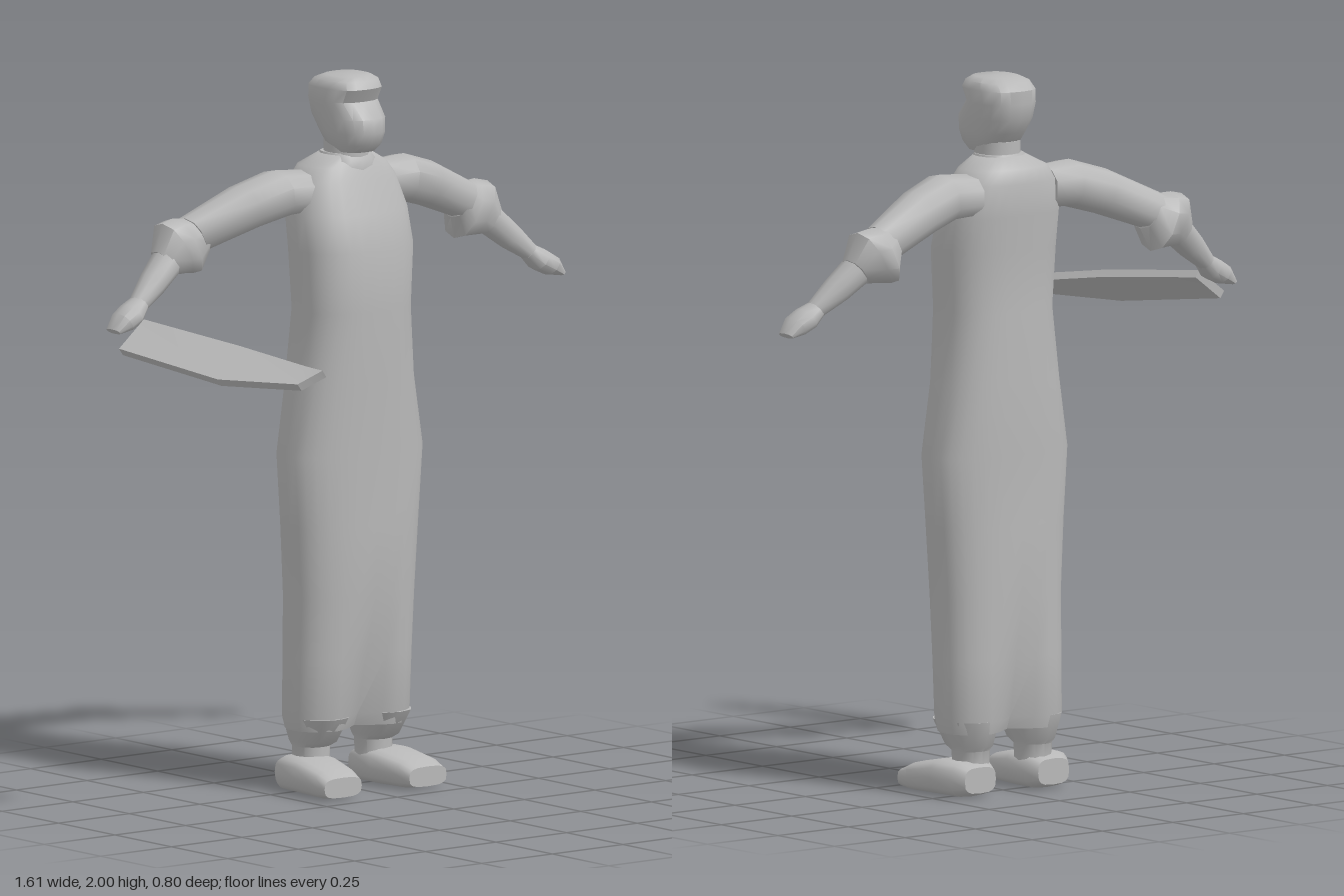
import * as THREE from 'three';
import { toCreasedNormals } from 'three/addons/utils/BufferGeometryUtils.js';

const MID = 0.006; // the figure's own centre line
const grey = new THREE.MeshStandardMaterial({ color: 0xb8b8b8 });
grey.name = 'plain grey';

// Closed skin over rings of points, capped at both ends
function skin(name, rings, crease = 0.8) {
  const n = rings[0].length, pos = [], idx = [];
  rings.forEach(r => r.forEach(p => pos.push(p.x, p.y, p.z)));
  for (let i = 0; i < rings.length - 1; i++)
    for (let j = 0; j < n; j++) {
      const a = i * n + j, b = i * n + (j + 1) % n;
      idx.push(a, b, b + n, a, b + n, a + n);
    }
  [0, rings.length - 1].forEach((i, end) => {
    const c = new THREE.Vector3();
    rings[i].forEach(p => c.addScaledVector(p, 1 / n));
    const k = pos.length / 3;
    pos.push(c.x, c.y, c.z);
    for (let j = 0; j < n; j++) {
      const a = i * n + j, b = i * n + (j + 1) % n;
      end ? idx.push(k, a, b) : idx.push(k, b, a);
    }
  });
  const g = new THREE.BufferGeometry();
  g.setAttribute('position', new THREE.Float32BufferAttribute(pos, 3));
  g.setIndex(idx);
  const mesh = new THREE.Mesh(toCreasedNormals(g, crease), grey);
  mesh.name = name;
  return mesh;
}

// Rounded-square outline as [u, v] pairs
function outline(n, e) {
  return Array.from({ length: n }, (_, j) => {
    const t = (j / n) * Math.PI * 2, c = Math.cos(t), s = Math.sin(t);
    return [Math.sign(c) * Math.abs(c) ** (2 / e), Math.sign(s) * Math.abs(s) ** (2 / e)];
  });
}

// Upright part; rows are [y, half width, front z, back z, fold depth]
function upright(name, rows, x = MID, n = 20, e = 2.5) {
  return skin(name, rows.map(([y, w, zf, zb, fold = 0]) => outline(n, e).map(([u, v]) => {
    const dip = 1 - fold * Math.exp(-((v * w / 0.06) ** 2)) / ((zf - zb) / 2);
    return new THREE.Vector3(x + v * w, y, (zf + zb) / 2 + u * dip * (zf - zb) / 2);
  })));
}

// Limb piece; rows are [x, y, z, angle, radius across, radius in z]
function limb(name, rows, side, n = 10, e = 2.3) {
  return skin(name, rows.map(([x, y, z, a, ra, rz]) => {
    const ring = outline(n, e).map(([u, v]) => new THREE.Vector3(
      MID + side * (x - Math.sin(a) * u * ra), y + Math.cos(a) * u * ra, z + v * rz));
    return side < 0 ? ring.reverse() : ring;
  }));
}

function arm(side) {
  const g = new THREE.Group();
  g.name = side > 0 ? 'leftArm' : 'rightArm';
  g.add(limb('upperSleeve', [
    [0.13, 1.68, -0.265, 0, 0.06, 0.075],
    [0.22, 1.682, -0.265, -0.12, 0.066, 0.082],
    [0.32, 1.652, -0.285, -0.35, 0.064, 0.075],
    [0.48, 1.585, -0.32, -0.45, 0.055, 0.058],
  ], side));
  g.add(limb('rolledCuff', [
    [0.46, 1.585, -0.32, -0.45, 0.052, 0.056],
    [0.497, 1.555, -0.335, -0.42, 0.088, 0.072],
    [0.535, 1.552, -0.33, -0.5, 0.084, 0.07],
    [0.575, 1.515, -0.322, -0.67, 0.045, 0.045],
  ], side));
  g.add(limb('forearm', [
    [0.55, 1.535, -0.322, -0.67, 0.046, 0.046],
    [0.63, 1.468, -0.305, -0.67, 0.038, 0.04],
    [0.695, 1.415, -0.29, -0.67, 0.024, 0.03],
  ], side));
  g.add(limb('hand', [
    [0.685, 1.422, -0.29, -0.67, 0.024, 0.03],
    [0.72, 1.395, -0.283, -0.62, 0.033, 0.042],
    [0.755, 1.376, -0.28, -0.6, 0.03, 0.042],
    [0.788, 1.352, -0.28, -0.75, 0.01, 0.03],
  ], side));
  return g;
}

// Shoe sections run heel to toe: [z, x from centre, half width, bottom, top]
function leg(side) {
  const g = new THREE.Group();
  g.name = side > 0 ? 'leftLeg' : 'rightLeg';
  const rows = [
    [-0.32, 0.13, 0.055, 0.012, 0.085], [-0.285, 0.132, 0.076, 0, 0.1],
    [-0.2, 0.135, 0.082, 0, 0.1], [-0.1, 0.146, 0.074, 0, 0.08],
    [-0.06, 0.15, 0.066, 0.006, 0.062],
  ];
  g.add(skin('shoe', rows.map(([z, x, w, y0, y1]) => outline(16, 3.2).map(([u, v]) =>
    new THREE.Vector3(MID + side * x + u * w, (y0 + y1) / 2 + v * (y1 - y0) / 2, z)))));
  g.add(upright('trouserLeg', [
    [0.07, 0.05, -0.2, -0.305], [0.125, 0.052, -0.2, -0.305],
    [0.14, 0.06, -0.17, -0.32], [0.21, 0.085, -0.13, -0.335],
  ], MID + side * 0.11, 12, 2.2));
  return g;
}

// Single-edged blade: pairs of spine and cutting-edge points
function blade() {
  const n = new THREE.Vector3(0.58, -0.81, 0).multiplyScalar(0.024);
  const V = (...p) => new THREE.Vector3(...p);
  const pairs = [
    [V(-0.71, 1.385, -0.235), V(-0.81, 1.315, -0.22)],
    [V(-0.648, 1.35, 0.11), V(-0.748, 1.27, 0.14)],
    [V(-0.595, 1.317, 0.34), V(-0.645, 1.275, 0.365)],
    [V(-0.585, 1.312, 0.4), V(-0.592, 1.307, 0.395)],
  ];
  return skin('blade', pairs.map(([s, e]) => [s, e, e.clone().add(n), s.clone().add(n)]), 0.5);
}

export function createModel() {
  const model = new THREE.Group();
  model.name = 'robedFigure';

  // Long robe with a fold front and back near the hem
  model.add(upright('robe', [
    [0.175, 0.188, -0.135, -0.34, 0.065],
    [0.21, 0.196, -0.125, -0.348, 0.06],
    [0.38, 0.197, -0.115, -0.347, 0.03],
    [0.55, 0.199, -0.103, -0.345, 0],
    [0.75, 0.212, -0.1, -0.342],
    [0.95, 0.227, -0.098, -0.342],
    [1.15, 0.19, -0.09, -0.352],
    [1.35, 0.172, -0.085, -0.34],
    [1.52, 0.183, -0.085, -0.345],
    [1.62, 0.182, -0.115, -0.355],
    [1.71, 0.16, -0.15, -0.358],
    [1.75, 0.13, -0.165, -0.345],
    [1.78, 0.075, -0.18, -0.305],
  ], MID, 28));

  // Neck with collar
  model.add(upright('collar', [
    [1.735, 0.085, -0.16, -0.32], [1.765, 0.078, -0.163, -0.31], [1.785, 0.068, -0.18, -0.3],
  ], MID, 16));
  model.add(upright('neck', [
    [1.74, 0.064, -0.17, -0.295], [1.82, 0.062, -0.17, -0.295],
  ], MID, 14, 2.2));

  // Face, then hair with a brow overhang
  model.add(upright('head', [
    [1.79, 0.052, -0.145, -0.25],
    [1.812, 0.066, -0.122, -0.285],
    [1.845, 0.074, -0.11, -0.31],
    [1.885, 0.08, -0.112, -0.338],
    [1.93, 0.086, -0.155, -0.344],
    [1.967, 0.087, -0.135, -0.344],
    [1.988, 0.08, -0.147, -0.32],
    [2.0, 0.058, -0.165, -0.29],
  ], MID, 18, 2.6));

  for (const side of [1, -1]) model.add(arm(side), leg(side));
  model.add(blade());
  return model;
}
